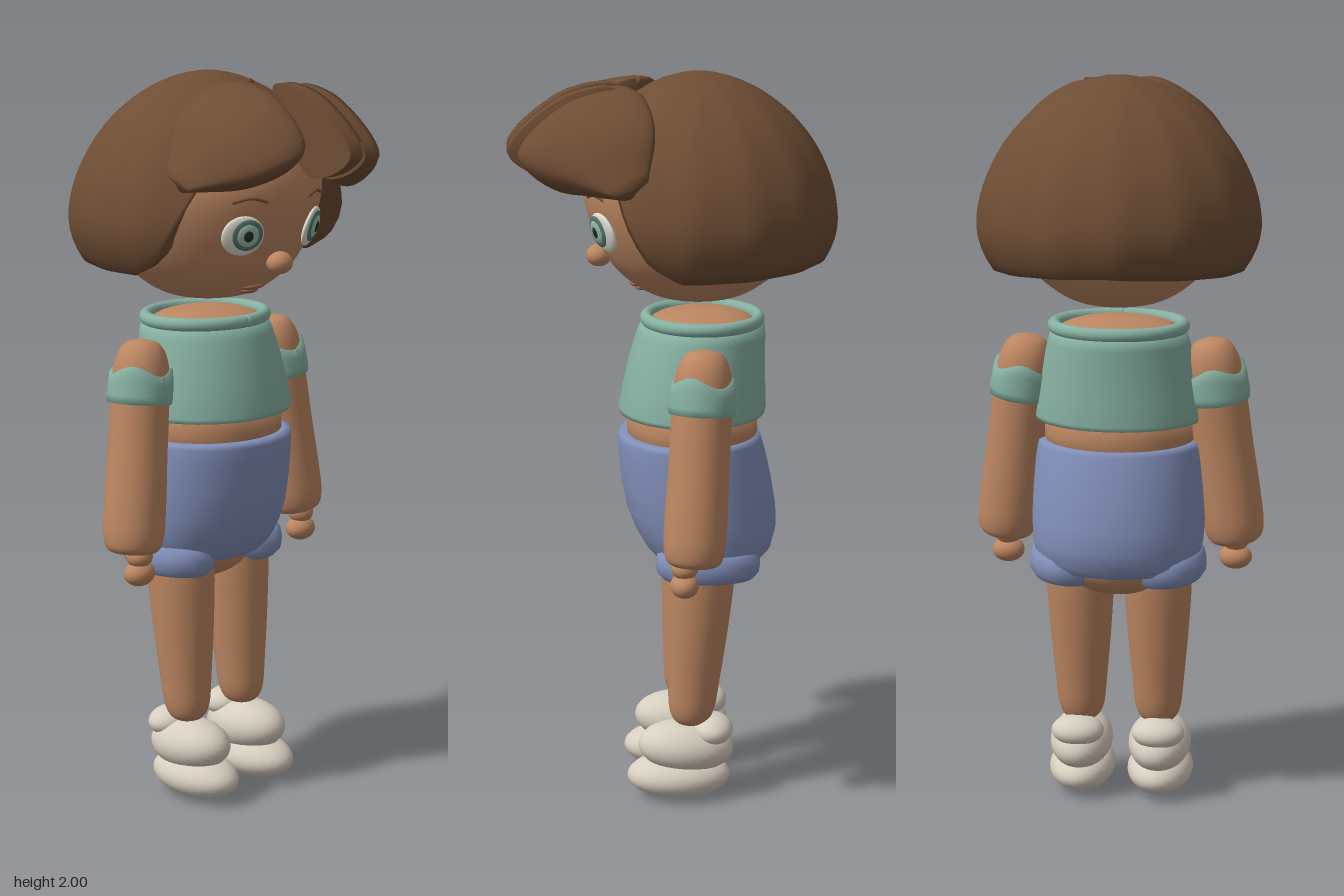
import * as THREE from 'three';

const mat = (name, color, side = THREE.FrontSide) => {
  const m = new THREE.MeshStandardMaterial({ color, side });
  m.name = name;
  return m;
};
const V = (x, y, z) => new THREE.Vector3(x, y, z);

// Closed smooth skin through a stack of equal-length loops, with fan caps.
function skinLoops(loops) {
  const n = loops[0].length, m = loops.length, pos = [], idx = [];
  loops.forEach(l => l.forEach(p => pos.push(p.x, p.y, p.z)));
  for (let j = 0; j < m - 1; j++) for (let k = 0; k < n; k++) {
    const a = j * n + k, b = j * n + (k + 1) % n;
    idx.push(a, b, a + n, b, b + n, a + n);
  }
  [0, m - 1].forEach((j, end) => {
    const c = loops[j].reduce((s, p) => s.add(p), V(0, 0, 0)).divideScalar(n);
    const ci = pos.length / 3;
    pos.push(c.x, c.y, c.z);
    for (let k = 0; k < n; k++) {
      const a = j * n + k, b = j * n + (k + 1) % n;
      if (end) idx.push(a, b, ci); else idx.push(b, a, ci);
    }
  });
  const g = new THREE.BufferGeometry();
  g.setAttribute('position', new THREE.Float32BufferAttribute(pos, 3));
  g.setIndex(idx);
  g.computeVertexNormals();
  return g;
}

// Elliptical body part; each section is [y, rx, rz, centreZ], bottom to top.
function loft(sections, n = 48) {
  return skinLoops(sections.map(([y, rx, rz, cz]) => Array.from({ length: n }, (_, k) => {
    const a = k / n * Math.PI * 2;
    return V(Math.sin(a) * rx, y, cz + Math.cos(a) * rz);
  })));
}

// Round part from a smoothed profile of [radius, y], bottom to top.
function turned(points, steps = 40) {
  const c = new THREE.SplineCurve(points.map(p => new THREE.Vector2(...p)));
  return new THREE.LatheGeometry(c.getPoints(steps).map(p => new THREE.Vector2(Math.max(0, p.x), p.y)), 40);
}

// Lock of hair lofted over rails that run around its section.
function lock(rails, nu = 20, nk = 40) {
  const curves = rails.map(r => new THREE.CatmullRomCurve3(r.map(p => V(...p))));
  return skinLoops(Array.from({ length: nu + 1 }, (_, i) =>
    new THREE.CatmullRomCurve3(curves.map(c => c.getPoint(i / nu)), true, 'centripetal').getPoints(nk).slice(0, nk)));
}

// Piecewise smooth lookup in a table of [input, output].
function lookup(table, x) {
  for (let i = 1; i < table.length; i++) if (x <= table[i][0]) {
    const [x0, y0] = table[i - 1], [x1, y1] = table[i];
    return y0 + (y1 - y0) * (x - x0) / (x1 - x0);
  }
  return table[table.length - 1][1];
}

export function createModel() {
  const root = new THREE.Group();
  root.name = 'doll';
  const skin = mat('skin', 0xbc8661), hair = mat('hair brown', 0x6e4d34, THREE.DoubleSide);
  const teal = mat('shirt teal', 0x86b0a1), blue = mat('shorts blue', 0x8290ba);
  const cream = mat('shoe cream', 0xd6cebf), white = mat('eye white', 0xdfddd2);
  const iris = mat('iris green', 0x55796c), irisLight = mat('iris light', 0x9dbdab);
  const pupil = mat('pupil', 0x20302c), lip = mat('lip', 0x9a6248);

  const add = (name, geo, m, p = [0, 0, 0], parent = root) => {
    const o = new THREE.Mesh(geo, m);
    o.name = name;
    o.position.set(...p);
    parent.add(o);
    return o;
  };
  const ball = (name, m, p, r, parent) => {
    const o = add(name, new THREE.SphereGeometry(1, 32, 20), m, p, parent);
    o.scale.set(...r);
    return o;
  };

  // Head
  const headProfile = [[0, 1.4], [0.09, 1.403], [0.165, 1.435], [0.235, 1.5], [0.285, 1.6],
    [0.305, 1.7], [0.285, 1.78], [0.24, 1.85], [0.14, 1.91], [0, 1.935]];
  const HZ = -0.07;
  add('head', turned(headProfile, 60), skin, [0, 0, HZ]);
  const radiusAt = y => lookup(headProfile.map(([r, h]) => [h, r]), y);
  const facePoint = (x, y, off = 0) => {
    const p = V(x, y, Math.sqrt(radiusAt(y) ** 2 - x * x) + HZ);
    return p.addScaledVector(p.clone().sub(V(0, 1.68, HZ)).normalize(), off);
  };
  const onFace = (name, m, x, y, off, r) => {
    const o = ball(name, m, facePoint(x, y, off).toArray(), r);
    o.lookAt(facePoint(x, y, off + 1));
  };

  // Face details
  for (const s of [1, -1]) {
    onFace('eyeWhite', white, s * 0.128, 1.598, 0.002, [0.058, 0.055, 0.014]);
    onFace('iris', iris, s * 0.12, 1.603, 0.012, [0.042, 0.043, 0.007]);
    onFace('irisCentre', irisLight, s * 0.12, 1.603, 0.016, [0.03, 0.031, 0.006]);
    onFace('pupil', pupil, s * 0.12, 1.603, 0.02, [0.014, 0.016, 0.004]);
    const brow = [[0.075, 1.683], [0.12, 1.695], [0.165, 1.685]].map(([x, y]) => facePoint(s * x, y, 0.002));
    add('eyebrow', new THREE.TubeGeometry(new THREE.CatmullRomCurve3(brow), 12, 0.004, 6), hair);
    ball('ear', skin, [s * 0.3, 1.57, -0.03], [0.05, 0.06, 0.035]);
  }
  ball('nose', skin, [0, 1.515, 0.195], [0.037, 0.03, 0.034]);
  ball('upperLip', lip, [0, 1.441, 0.095], [0.042, 0.009, 0.02]);
  ball('lowerLip', lip, [0, 1.429, 0.08], [0.032, 0.009, 0.02]);

  // Hair cap with a hem that rises over the face
  const hemTable = [[0, 1.83], [38, 1.82], [52, 1.68], [65, 1.54], [78, 1.495], [110, 1.5], [180, 1.52]];
  const capR = y => y > 1.62
    ? 0.376 * Math.pow(Math.max(0, 1 - Math.pow((y - 1.62) / 0.38, 1.8)), 0.55)
    : 0.376 - 2.9 * (1.62 - y) ** 2;
  const N = 96, ROWS = 28, cap = [];
  for (let j = -1; j < ROWS; j++) {
    cap.push(Array.from({ length: N }, (_, k) => {
      const a = k / N * Math.PI * 2, deg = Math.abs(((a * 180 / Math.PI + 180) % 360) - 180);
      const hem = lookup(hemTable, deg);
      const y = j < 0 ? hem + 0.015 : 2 - (2 - hem) * (1 - Math.sin(j / ROWS * Math.PI / 2));
      const r = (j < 0 ? 0.72 * capR(hem) : capR(y)) * (1 + 0.008 * Math.sin(a * 14));
      return V(Math.sin(a) * r, y, HZ + Math.cos(a) * r * (Math.cos(a) > 0 ? 0.95 : 0.99));
    }));
  }
  add('hairCap', skinLoops(cap), hair);

  // Swept fringe on either side of the parting
  add('fringeRight', lock([
    [[-0.30, 1.76, 0.08], [-0.2, 1.9, 0.02], [-0.1, 1.965, 0.04], [-0.02, 1.975, 0.08]],
    [[-0.31, 1.75, 0.14], [-0.22, 1.87, 0.23], [-0.09, 1.945, 0.25], [-0.01, 1.965, 0.14]],
    [[-0.31, 1.73, 0.17], [-0.2, 1.78, 0.335], [-0.09, 1.83, 0.365], [-0.03, 1.9, 0.2]],
    [[-0.30, 1.72, 0.14], [-0.18, 1.73, 0.25], [-0.09, 1.77, 0.28], [-0.03, 1.87, 0.18]],
    [[-0.28, 1.74, 0.08], [-0.18, 1.77, 0.12], [-0.1, 1.8, 0.15], [-0.03, 1.88, 0.1]],
  ]), hair);
  add('fringeLeft', lock([
    [[0.06, 1.965, 0.12], [0.15, 1.95, 0.08], [0.25, 1.88, 0.06], [0.31, 1.76, 0.08]],
    [[0.08, 1.94, 0.28], [0.17, 1.92, 0.26], [0.27, 1.85, 0.19], [0.325, 1.74, 0.13]],
    [[0.1, 1.8, 0.41], [0.16, 1.79, 0.39], [0.25, 1.76, 0.28], [0.32, 1.72, 0.16]],
    [[0.09, 1.74, 0.3], [0.15, 1.71, 0.29], [0.23, 1.71, 0.23], [0.31, 1.71, 0.14]],
    [[0.06, 1.84, 0.15], [0.14, 1.8, 0.12], [0.2, 1.77, 0.1], [0.29, 1.73, 0.08]],
  ]), hair);
  [0, 0.055].forEach((x, i) => add('fringeStrand', lock([
    [1.97, 0.15, 0.02], [1.95, 0.29, 0], [1.81, 0.435, 0], [1.745, 0.31, 0], [1.86, 0.18, 0.02],
  ].map(([y, z, d]) => [[x + d, y - i * 0.006, z], [x + 0.065, y - i * 0.006, z - 0.005]]), 4), hair));
  ball('hairKnot', hair, [0, 1.975, 0.085], [0.012, 0.012, 0.008]);

  // Torso and clothes
  ball('neckStump', skin, [0, 1.32, -0.08], [0.17, 0.048, 0.15]);
  add('shirt', loft([[1.085, 0.215, 0.185, -0.055], [1.088, 0.228, 0.197, -0.055], [1.1, 0.232, 0.2, -0.055],
    [1.16, 0.222, 0.193, -0.06], [1.24, 0.205, 0.183, -0.068], [1.3, 0.19, 0.174, -0.078],
    [1.325, 0.182, 0.168, -0.082], [1.33, 0.16, 0.15, -0.082]]), teal);
  const ring = new THREE.TorusGeometry(0.172, 0.018, 14, 64, Math.PI * 2 - 0.1);
  ring.rotateZ(Math.PI / 2 + 0.05).rotateX(Math.PI / 2).scale(1, 1, 0.88);
  add('collar', ring, teal, [0, 1.342, -0.082]);
  for (const s of [1, -1]) ball('collarEnd', teal, [s * 0.01, 1.342, 0.069], [0.018, 0.018, 0.016]);
  add('waist', loft([[0.98, 0.2, 0.175, -0.055], [1.05, 0.203, 0.177, -0.055], [1.12, 0.2, 0.175, -0.055]]), skin);
  add('shorts', loft([[0.675, 0.15, 0.12, -0.1], [0.685, 0.2, 0.15, -0.1], [0.71, 0.222, 0.172, -0.1],
    [0.76, 0.232, 0.193, -0.092], [0.82, 0.235, 0.204, -0.08], [0.9, 0.233, 0.205, -0.066],
    [0.97, 0.23, 0.2, -0.055], [1.015, 0.226, 0.195, -0.047], [1.028, 0.222, 0.19, -0.047],
    [1.03, 0.205, 0.175, -0.047]]), blue);
  ball('hips', skin, [0, 0.705, -0.1], [0.16, 0.1, 0.135]);

  const armGeo = turned([[0, -0.575], [0.06, -0.57], [0.08, -0.535], [0.083, -0.45], [0.08, -0.3],
    [0.079, -0.15], [0.071, -0.06], [0.045, -0.012], [0, 0]], 60);
  const sleeveGeo = new THREE.LatheGeometry([[0.072, -0.172], [0.087, -0.17], [0.089, -0.15], [0.087, -0.11],
    [0.084, -0.085], [0.07, -0.082]].map(p => new THREE.Vector2(...p)), 40);
  // Wavy upper edge of the sleeve
  const sp = sleeveGeo.attributes.position;
  for (let i = 0; i < sp.count; i++) if (sp.getY(i) > -0.12) {
    sp.setY(i, sp.getY(i) + 0.012 * Math.sin(3 * Math.atan2(sp.getZ(i), sp.getX(i))));
  }
  sleeveGeo.computeVertexNormals();
  const legGeo = turned([[0, 0.215], [0.04, 0.222], [0.062, 0.26], [0.072, 0.35], [0.085, 0.5], [0.093, 0.65], [0.085, 0.75], [0, 0.76]], 50);
  // Legs lean slightly back towards the hips
  const lp = legGeo.attributes.position;
  for (let i = 0; i < lp.count; i++) lp.setZ(i, lp.getZ(i) - 0.045 - 0.06 * (lp.getY(i) - 0.2));
  legGeo.computeVertexNormals();
  const cuffGeo = loft([[-0.042, 0.075, 0.1, 0], [-0.042, 0.092, 0.122, 0], [-0.025, 0.105, 0.138, 0],
    [0, 0.108, 0.142, 0], [0.025, 0.105, 0.138, 0], [0.042, 0.09, 0.12, 0]]);

  // Paired limbs
  for (const s of [1, -1]) {
    const side = s > 0 ? 'left' : 'right';
    const arm = new THREE.Group();
    arm.name = side + 'Arm';
    arm.position.set(s * 0.243, 1.31, -0.072);
    arm.rotation.set(-0.06, 0, s * 0.13);
    root.add(arm);
    add('armLimb', armGeo, skin, [0, 0, 0], arm);
    add('sleeve', sleeveGeo, teal, [0, 0, 0], arm);
    ball('wrist', skin, [s * 0.315, 0.737, -0.015], [0.036, 0.03, 0.036]);
    ball('hand', skin, [s * 0.315, 0.69, -0.015], [0.045, 0.034, 0.038]);

    const cuff = add(side + 'Cuff', cuffGeo, blue, [s * 0.133, 0.692, -0.09]);
    cuff.rotation.z = s * 0.08;
    add(side + 'Leg', legGeo, skin, [s * 0.107, 0, 0]);

    ball(side + 'ShoeSole', cream, [s * 0.11, 0.066, -0.012], [0.092, 0.062, 0.143]);
    const upper = ball(side + 'ShoeUpper', cream, [s * 0.11, 0.15, -0.032], [0.087, 0.072, 0.132]);
    upper.rotation.x = -0.08;
    ball(side + 'ShoeAnkle', cream, [s * 0.112, 0.2, -0.105], [0.073, 0.042, 0.058]);
  }
  return root;
}
